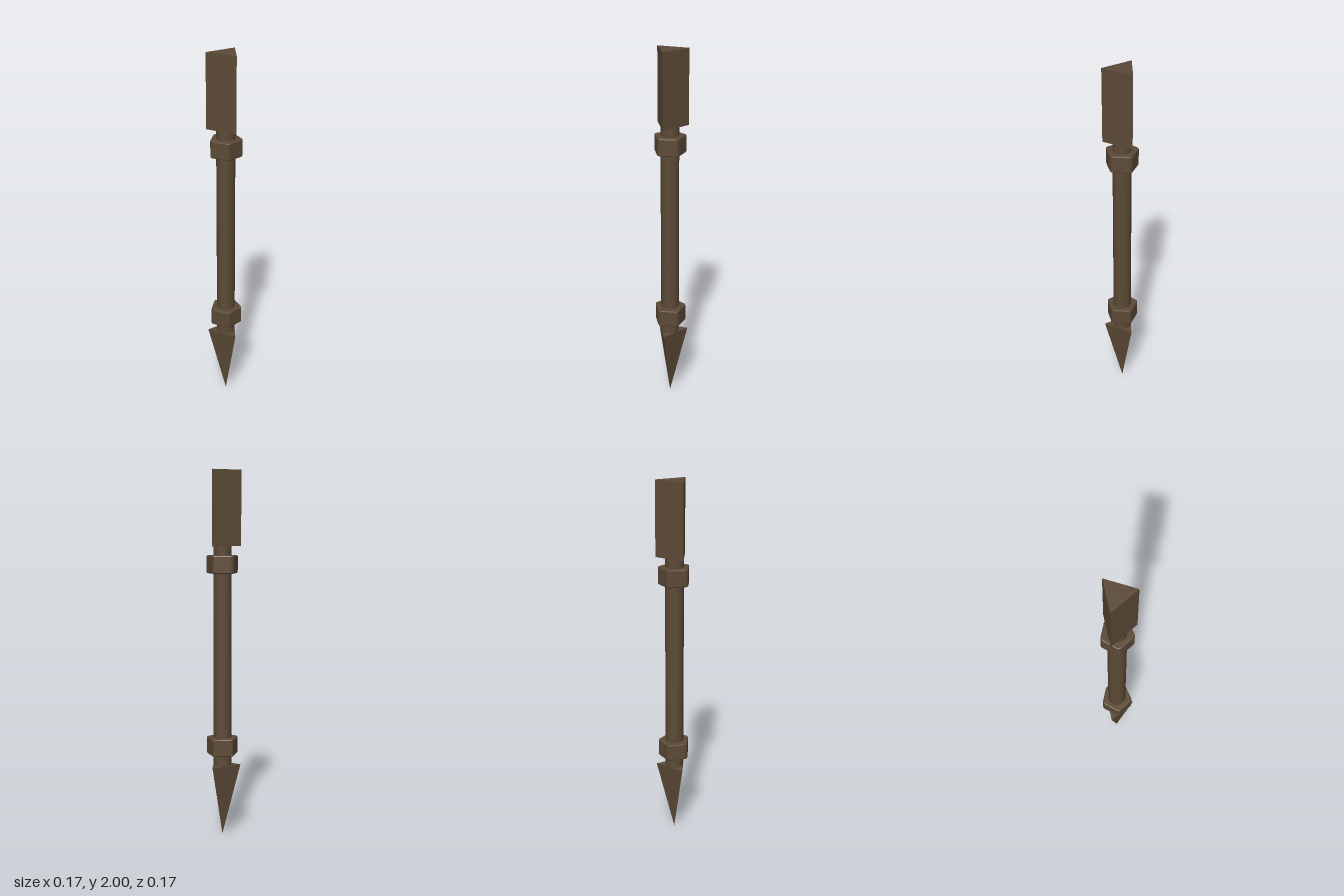
import * as THREE from 'three';

const AXIS_Z = 0.0125; // the shaft axis sits slightly forward of the centre

export function createModel() {
  const group = new THREE.Group();
  const wood = new THREE.MeshStandardMaterial({ color: 0x5c4a37 });
  wood.name = 'darkBrown';

  function add(name, geometry, y) {
    const mesh = new THREE.Mesh(geometry, wood);
    mesh.name = name;
    mesh.position.set(0, y, AXIS_Z);
    group.add(mesh);
  }

  // three-sided prism or spike with one edge facing the back
  function threeSided(rTop, rBottom, height) {
    const g = new THREE.CylinderGeometry(rTop, rBottom, height, 3).toNonIndexed();
    g.rotateY(Math.PI);
    g.computeVertexNormals();
    return g;
  }

  // five-sided collar with rounded corners and bevelled rims
  function collarGeometry(radius, height) {
    const corners = [];
    for (let i = 0; i < 5; i++) {
      const a = Math.PI / 2 + (i * Math.PI * 2) / 5;
      corners.push(new THREE.Vector2(Math.cos(a), Math.sin(a)).multiplyScalar(radius));
    }
    const shape = new THREE.Shape();
    corners.forEach((c, i) => {
      const before = c.clone().lerp(corners[(i + 4) % 5], 0.14);
      const after = c.clone().lerp(corners[(i + 1) % 5], 0.14);
      if (i === 0) shape.moveTo(before.x, before.y);
      else shape.lineTo(before.x, before.y);
      shape.quadraticCurveTo(c.x, c.y, after.x, after.y);
    });
    shape.closePath();
    const bevel = 0.006;
    const g = new THREE.ExtrudeGeometry(shape, {
      depth: height - bevel * 2, curveSegments: 3,
      bevelEnabled: true, bevelThickness: bevel, bevelSize: bevel,
      bevelOffset: -bevel, bevelSegments: 2,
    });
    g.translate(0, 0, bevel - height / 2);
    g.rotateX(-Math.PI / 2);
    return g;
  }

  add('spike', threeSided(0.1, 0, 0.4), 0.2);
  add('shaft', new THREE.CylinderGeometry(0.05, 0.05, 1.22, 16), 1.0);
  add('headBlock', threeSided(0.1, 0.1, 0.4), 1.8);

  const collar = collarGeometry(0.092, 0.096);
  add('lowerCollar', collar, 0.507);
  add('upperCollar', collar, 1.503);

  return group;
}
